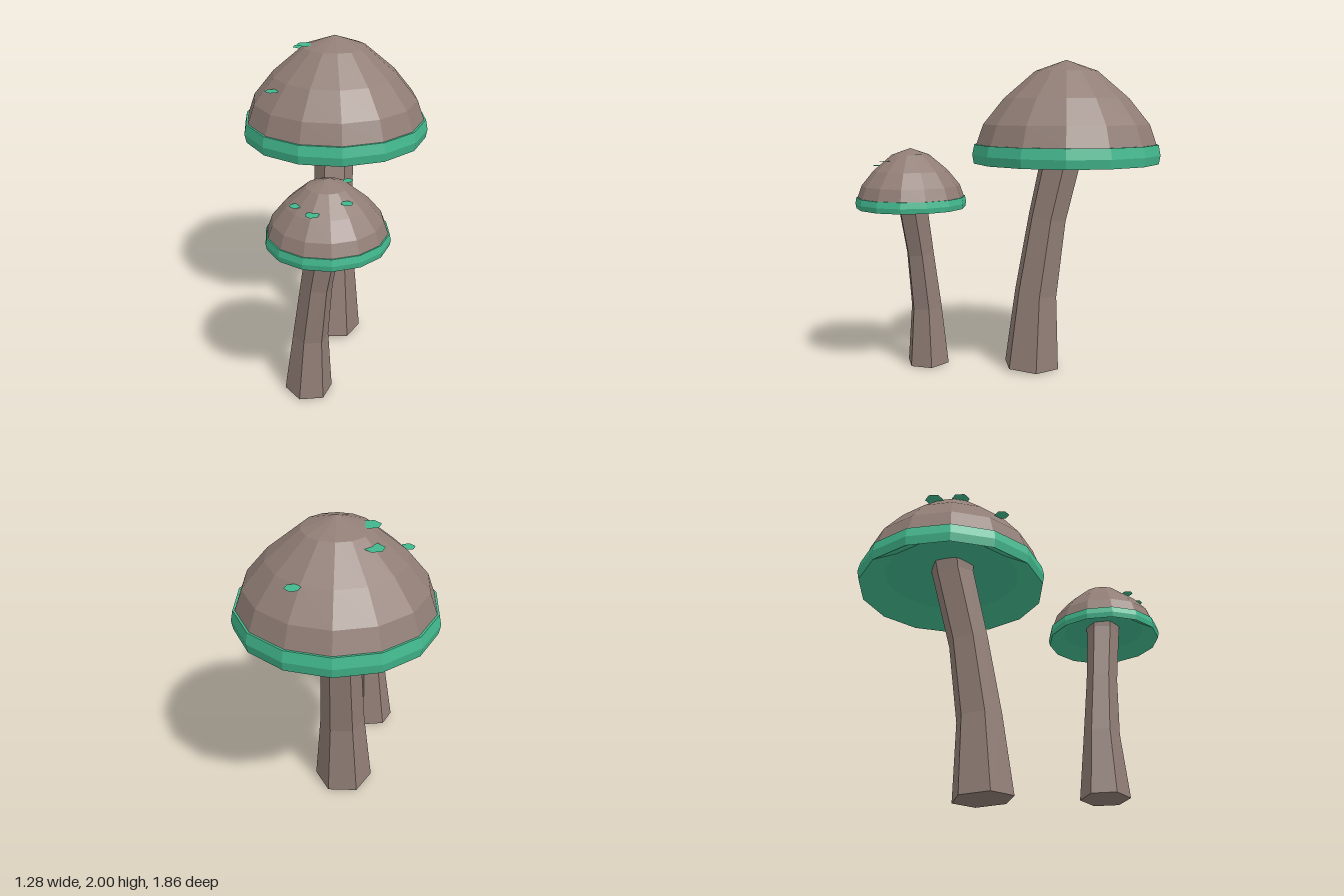
import * as THREE from 'three';

const brown = new THREE.MeshStandardMaterial({ color: 0x917e76 });
const green = new THREE.MeshStandardMaterial({ color: 0x42b88e });
const spotGreen = green.clone();
spotGreen.side = THREE.DoubleSide;
brown.name = 'mushroomBrown';
green.name = 'rimGreen';
spotGreen.name = 'spotGreen';

// One normal per face for the low-poly look
function faceted(geometry) {
  const flat = geometry.index ? geometry.toNonIndexed() : geometry;
  flat.computeVertexNormals();
  return flat;
}

function addMesh(parent, name, geometry, material) {
  const mesh = new THREE.Mesh(geometry, material);
  mesh.name = name;
  parent.add(mesh);
  return mesh;
}

// 14-sided surface of revolution with corners on the x axis
function turned(profile) {
  const points = profile.map(([r, y]) => new THREE.Vector2(r, y));
  return faceted(new THREE.LatheGeometry(points, 14, Math.PI / 2));
}

// Bent six-sided stem; each ring is [x, y, z, radius], set square to the bend
function stemGeometry(rings, phase) {
  const n = rings.length - 1;
  const g = new THREE.CylinderGeometry(1, 1, 1, 6, n);
  const p = g.attributes.position;
  for (let i = 0; i < p.count; i++) {
    const k = Math.round((p.getY(i) + 0.5) * n);
    const [cx, cy, cz, r] = rings[k];
    const a = rings[Math.max(k - 1, 0)], b = rings[Math.min(k + 1, n)];
    const rise = b[1] - a[1];
    const angle = Math.atan2(p.getZ(i), p.getX(i)) + phase;
    const radius = r * Math.hypot(p.getX(i), p.getZ(i));
    const dx = radius * Math.cos(angle), dz = radius * Math.sin(angle);
    const tilt = (dx * (b[0] - a[0]) + dz * (b[2] - a[2])) / rise;
    p.setXYZ(i, cx + dx, cy - tilt, cz + dz);
  }
  return faceted(g);
}

// Cap profiles, measured down from the top of the dome
const DOME = [[0.575, -0.527], [0.53, -0.4], [0.4, -0.24], [0.2, -0.07], [0, 0]];
const RIM = [[0.1, -0.465], [0.43, -0.54], [0.59, -0.645], [0.6, -0.59], [0.587, -0.525], [0.57, -0.525]];

function mushroom(name, { top, scale, rings, phase, spots }) {
  const group = new THREE.Group();
  group.name = name;
  addMesh(group, 'stem', stemGeometry(rings, phase), brown);

  const cap = new THREE.Group();
  cap.name = 'cap';
  cap.position.set(...top);
  cap.scale.setScalar(scale);
  addMesh(cap, 'dome', turned(DOME), brown);
  addMesh(cap, 'rimAndUnderside', turned(RIM), green);
  group.add(cap);

  // Flat level spots: [x, y, z, radius]
  for (const [x, y, z, r] of spots) {
    const disc = new THREE.CircleGeometry(r, 6).rotateX(-Math.PI / 2);
    addMesh(group, 'spot', disc, spotGreen).position.set(x, y, z);
  }
  return group;
}

export function createModel() {
  const model = new THREE.Group();
  model.name = 'mushrooms';

  model.add(mushroom('largeMushroom', {
    top: [0.04, 2, -0.345],
    scale: 1,
    phase: -0.28,
    rings: [
      [-0.05, 0.01, -0.15, 0.187],
      [-0.035, 0.5, -0.172, 0.143],
      [-0.008, 1.0, -0.24, 0.125],
      [0.033, 1.46, -0.335, 0.132],
      [0.04, 1.56, -0.345, 0.145],
    ],
    spots: [
      [-0.12, 1.89, -0.555, 0.06],
      [-0.14, 1.945, -0.38, 0.06],
      [0.33, 1.76, -0.67, 0.045],
      [-0.4, 1.715, -0.215, 0.045],
    ],
  }));

  model.add(mushroom('smallMushroom', {
    top: [-0.29, 1.45, 0.585],
    scale: 0.585,
    phase: -0.38,
    rings: [
      [-0.387, 0.01, 0.46, 0.144],
      [-0.37, 0.4, 0.472, 0.106],
      [-0.34, 0.77, 0.518, 0.093],
      [-0.298, 1.12, 0.58, 0.1],
      [-0.29, 1.19, 0.585, 0.11],
    ],
    spots: [
      [-0.485, 1.345, 0.65, 0.035],
      [-0.425, 1.335, 0.765, 0.04],
      [-0.235, 1.375, 0.765, 0.034],
      [-0.165, 1.415, 0.565, 0.03],
    ],
  }));

  return model;
}
